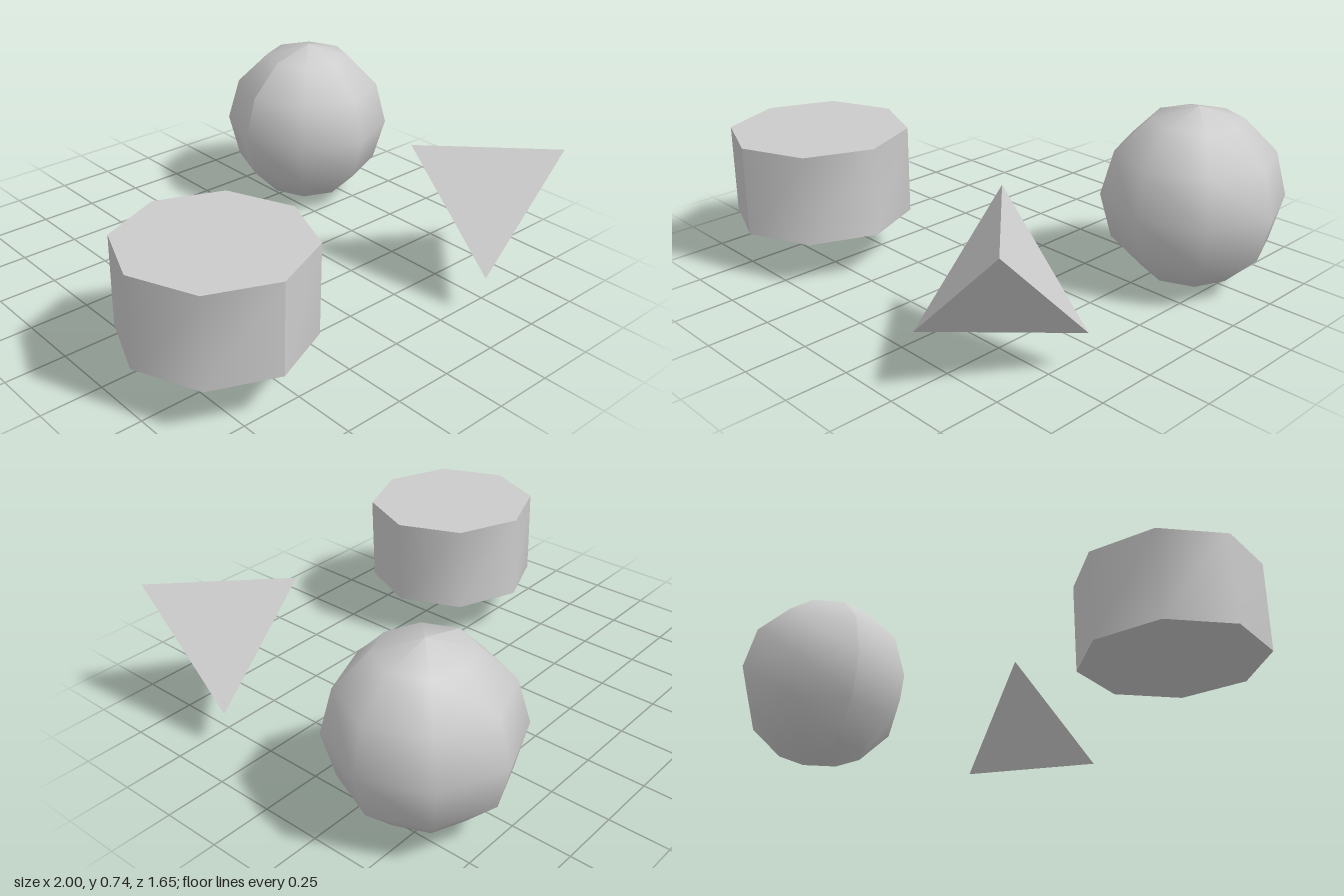
import * as THREE from 'three';

const R = 0.37; // shared radius of all three solids

export function createModel() {
  const group = new THREE.Group();

  const add = (name, geometry, position, flatShading = false) => {
    // normals follow the faces, leaving a crease along the seam
    geometry.computeVertexNormals();
    const material = new THREE.MeshStandardMaterial({ color: 0xcccccc, flatShading });
    const mesh = new THREE.Mesh(geometry, material);
    mesh.name = name;
    mesh.position.set(...position);
    group.add(mesh);
  };

  // Eight-sided drum
  add('cylinder', new THREE.CylinderGeometry(R, R, R, 8), [-0.63, 0.374, 0.45]);

  // Low-poly ball
  add('sphere', new THREE.SphereGeometry(R, 8, 6), [0.63, 0.37, -0.455]);

  // Four-faced solid
  add('tetrahedron', new THREE.TetrahedronGeometry(R), [0.627, 0.374, 0.612], true);

  return group;
}
